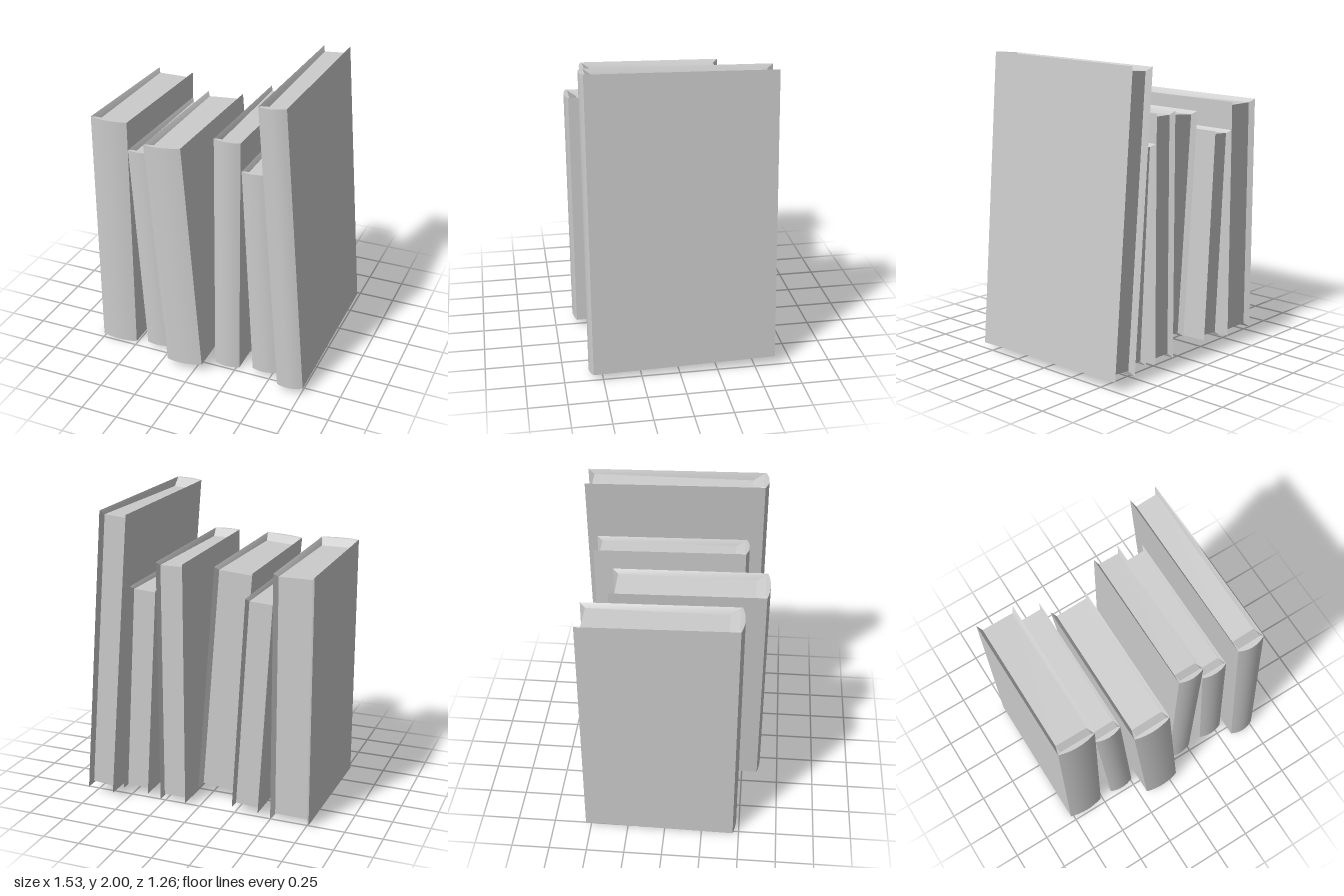
import * as THREE from 'three';
import { toCreasedNormals } from 'three/addons/utils/BufferGeometryUtils.js';

const material = new THREE.MeshStandardMaterial({ color: 0xcccccc, side: THREE.DoubleSide });

// Collects flat polygons as triangle fans, each wound to face along a hint direction
function surface() {
  const out = [];
  const a = new THREE.Vector3(), b = new THREE.Vector3();
  return {
    face(hint, ...p) {
      for (let i = 1; i < p.length - 1; i++) {
        a.subVectors(p[i], p[0]);
        b.subVectors(p[i + 1], p[0]);
        const flip = a.cross(b).dot(hint) < 0;
        const tri = flip ? [p[0], p[i + 1], p[i]] : [p[0], p[i], p[i + 1]];
        tri.forEach((v) => out.push(v.x, v.y, v.z));
      }
    },
    mesh(name) {
      const g = new THREE.BufferGeometry();
      g.setAttribute('position', new THREE.Float32BufferAttribute(out, 3));
      g.computeVertexNormals();
      const m = new THREE.Mesh(toCreasedNormals(g, 0.3), material);
      m.name = name;
      return m;
    },
  };
}

// A book standing on y = 0 with its spine towards +z; s scales its depth
function createBook(w, h, s) {
  const V = (x, y, z) => new THREE.Vector3(x * w, (y + 0.5) * h, z * s);
  const dir = (x, y, z) => new THREE.Vector3(x, y, z);

  // Named corners for each side (sx) and end (sy)
  const rimFront = (sx, sy) => V(sx * 0.495, sy * 0.5, 0.46);
  const rimBack = (sx, sy) => V(sx * 0.5, sy * 0.488, -0.535);
  const spineIn = (sx, sy) => V(sx * 0.415, sy * 0.5, 0.45);
  const pageFront = (sx, sy) => V(sx * 0.415, sy * 0.473, 0.39);
  const pageBack = (sx, sy) => V(sx * 0.415, sy * 0.473, -0.5);

  const cover = surface(), pages = surface();

  // Cover boards with edges thinning towards the rim
  for (const sx of [-1, 1]) {
    cover.face(dir(sx, 0, 0), rimFront(sx, 1), rimBack(sx, 1), rimBack(sx, -1), rimFront(sx, -1));
    cover.face(dir(-sx, 0, -1), rimBack(sx, 1), rimBack(sx, -1), pageBack(sx, -1), pageBack(sx, 1));
    for (const sy of [-1, 1]) {
      cover.face(dir(-sx, sy, 0), rimFront(sx, sy), rimBack(sx, sy), pageBack(sx, sy),
        pageFront(sx, sy), spineIn(sx, sy));
    }
  }

  // Rounded spine and its flat ends
  const n = 8;
  const arc = (i, sy) => {
    const t = (i / n) * 2 - 1;
    return V(t * 0.495, sy * 0.5, 0.46 + 0.02 * (1 - t * t));
  };
  for (let i = 0; i < n; i++) {
    cover.face(dir(0, 0, 1), arc(i, 1), arc(i + 1, 1), arc(i + 1, -1), arc(i, -1));
  }
  for (const sy of [-1, 1]) {
    const rim = Array.from({ length: n + 1 }, (_, i) => arc(i, sy));
    cover.face(dir(0, sy, 0), spineIn(-1, sy), ...rim, spineIn(1, sy));

    // Page edges, sloping up to the spine
    pages.face(dir(0, sy, 0), pageFront(-1, sy), pageFront(1, sy), pageBack(1, sy), pageBack(-1, sy));
    pages.face(dir(0, sy, 0), spineIn(-1, sy), spineIn(1, sy), pageFront(1, sy), pageFront(-1, sy));
  }
  pages.face(dir(0, 0, -1), pageBack(-1, 1), pageBack(1, 1), pageBack(1, -1), pageBack(-1, -1));

  const book = new THREE.Group();
  book.add(cover.mesh('cover'), pages.mesh('pages'));
  return book;
}

export function createModel() {
  const group = new THREE.Group();
  group.name = 'bookRow';

  // width, height, depth scale, base centre x, y, z, lean in degrees
  const books = [
    [0.26, 1.675, 1, -0.64, 0, 0, 0],
    [0.18, 1.463, 1, -0.332, 0.03, 0, 3.5],
    [0.257, 1.585, 1, -0.071, 0.05, 0.146, 4.5],
    [0.18, 1.675, 1, 0.18, 0, 0, 0],
    [0.18, 1.463, 1, 0.455, 0.03, 0, 3.5],
    [0.181, 1.961, 1.2, 0.671, 0.037, 0.012, 4.68],
  ];
  books.forEach(([w, h, s, x, y, z, lean], i) => {
    const book = createBook(w, h, s);
    book.name = `book${i + 1}`;
    book.position.set(x, y, z);
    book.rotation.z = THREE.MathUtils.degToRad(lean);
    group.add(book);
  });
  return group;
}
